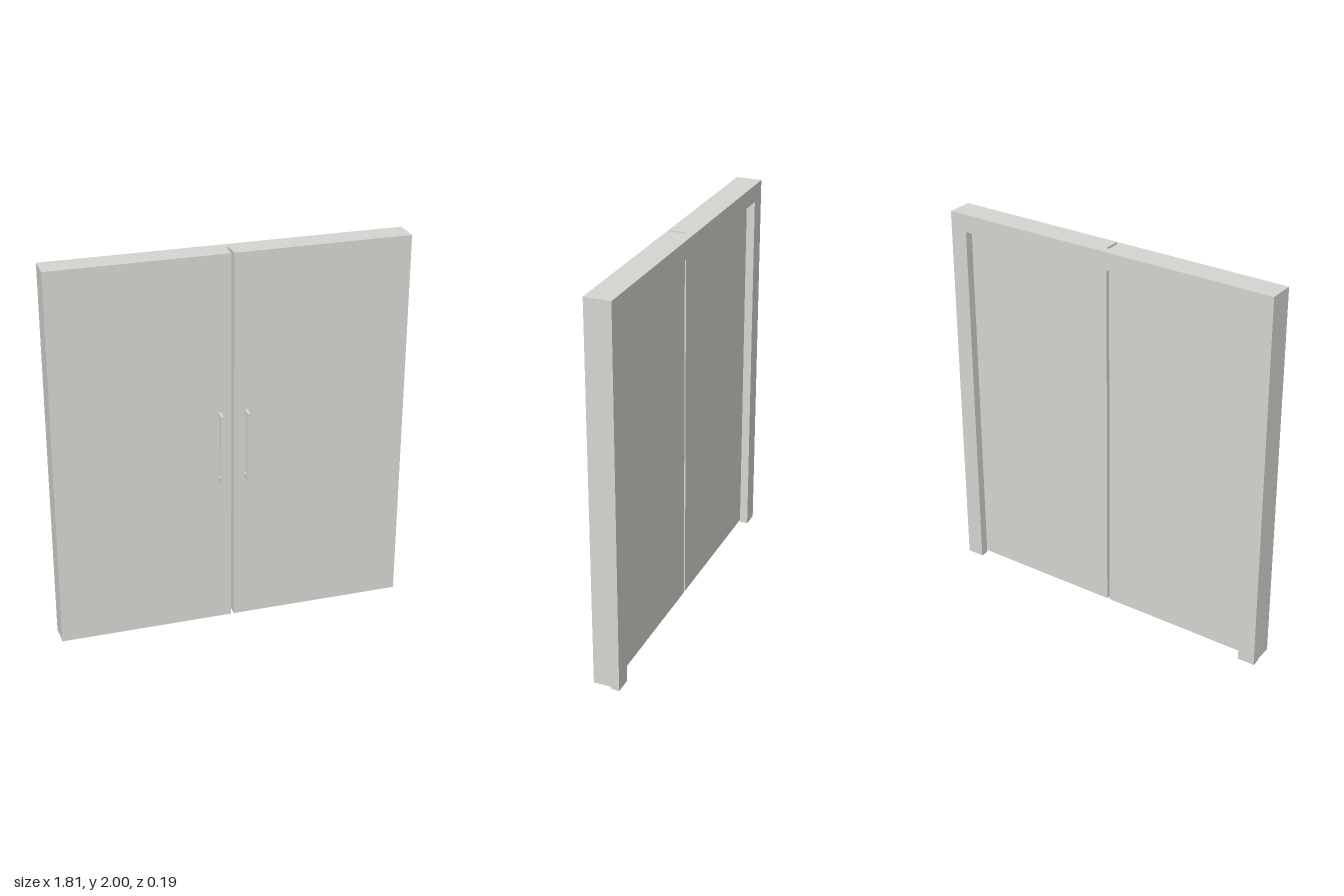
import * as THREE from 'three';

const HALF_W = 0.907, TOP = 2, BACK = -0.094, MID = -0.05, FRONT = 0.04;
const FRAME = 0.09;   // width of the frame members
const GAP = 0.0075;   // half the gap between the doors
const FLOOR_GAP = 0.012;

export function createModel() {
  const model = new THREE.Group();
  model.name = 'doubleDoor';
  const grey = new THREE.MeshStandardMaterial({ color: 0xd6d6d1 });
  grey.name = 'light warm grey';

  // Box given by its minimum and maximum corners
  function box(name, parent, [x0, y0, z0], [x1, y1, z1]) {
    const mesh = new THREE.Mesh(new THREE.BoxGeometry(x1 - x0, y1 - y0, z1 - z0), grey);
    mesh.position.set((x0 + x1) / 2, (y0 + y1) / 2, (z0 + z1) / 2);
    mesh.name = name;
    parent.add(mesh);
  }

  // Frame: one piece with an opening down to the floor
  const outline = new THREE.Shape([
    [-HALF_W, 0], [-HALF_W + FRAME, 0], [-HALF_W + FRAME, TOP - FRAME],
    [HALF_W - FRAME, TOP - FRAME], [HALF_W - FRAME, 0], [HALF_W, 0],
    [HALF_W, TOP], [-HALF_W, TOP],
  ].map(([x, y]) => new THREE.Vector2(x, y)));
  const frame = new THREE.Mesh(
    new THREE.ExtrudeGeometry(outline, { depth: MID - BACK, bevelEnabled: false }), grey);
  frame.position.z = BACK;
  frame.name = 'frame';
  model.add(frame);

  // Two door leaves, each with a square pull handle
  for (const side of [-1, 1]) {
    const label = side > 0 ? 'left' : 'right';
    const xs = (a, b) => (side > 0 ? [a, b] : [-b, -a]);
    const [dx0, dx1] = xs(GAP, HALF_W);
    box(label + 'Door', model, [dx0, FLOOR_GAP, MID], [dx1, TOP, FRONT]);

    const handle = new THREE.Group();
    handle.name = label + 'Handle';
    model.add(handle);
    const [hx0, hx1] = xs(0.06, 0.076);
    const low = 0.818, high = 1.184, t = 0.016, tip = 0.094;
    box('grip', handle, [hx0, low, tip - t], [hx1, high, tip]);
    box('lowerStandoff', handle, [hx0, low, FRONT], [hx1, low + t, tip - t]);
    box('upperStandoff', handle, [hx0, high - t, FRONT], [hx1, high, tip - t]);
  }
  return model;
}
